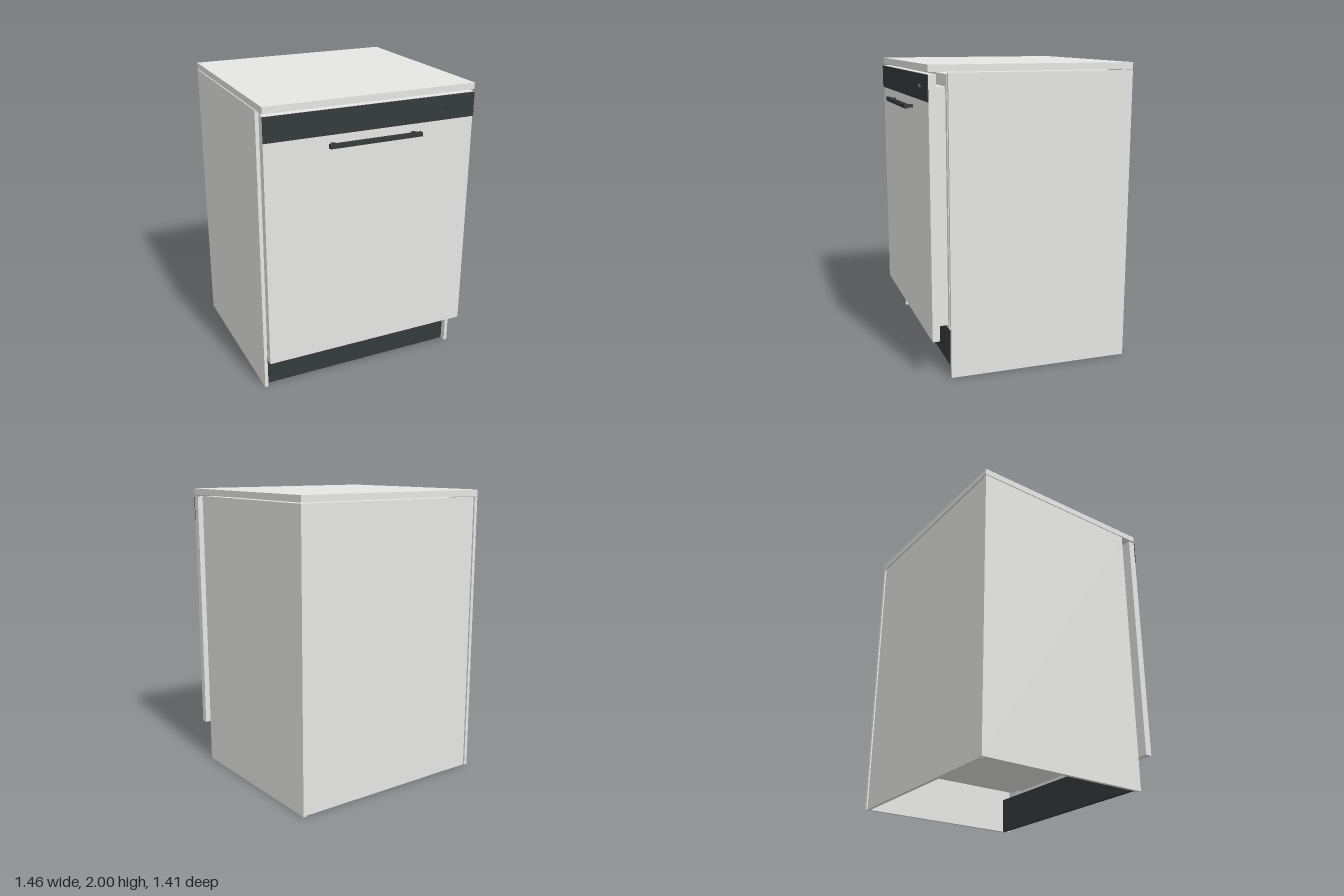
import * as THREE from 'three';

export function createModel() {
  const model = new THREE.Group();
  model.name = 'dishwasher';

  const grey = new THREE.MeshStandardMaterial({ color: 0xe6e6e4 });
  grey.name = 'light grey';
  const dark = new THREE.MeshStandardMaterial({ color: 0x343a3a });
  dark.name = 'charcoal';

  // Box given by its minimum and maximum on each axis
  function box(name, material, [x0, x1], [y0, y1], [z0, z1], parent = model) {
    const mesh = new THREE.Mesh(new THREE.BoxGeometry(x1 - x0, y1 - y0, z1 - z0), material);
    mesh.position.set((x0 + x1) / 2, (y0 + y1) / 2, (z0 + z1) / 2);
    mesh.name = name;
    parent.add(mesh);
  }

  // Cabinet: worktop, two sides, slightly recessed back panel
  box('worktop', grey, [-0.73, 0.73], [1.957, 2], [-0.705, 0.645]);
  box('rightSide', grey, [-0.73, -0.706], [0, 1.951], [-0.705, 0.522]);
  box('leftSide', grey, [0.706, 0.73], [0, 1.951], [-0.705, 0.522]);
  box('backPanel', grey, [-0.702, 0.702], [0, 1.951], [-0.697, -0.673]);

  // Machine body, standing clear of the sides
  box('body', grey, [-0.684, 0.684], [0.312, 1.94], [-0.673, 0.52]);

  // Recessed plinth
  box('plinth', dark, [-0.705, 0.705], [0, 0.248], [0.457, 0.482]);

  // Door with a narrower inner liner and a control strip
  box('doorLiner', grey, [-0.65, 0.65], [0.333, 1.865], [0.52, 0.594]);
  box('door', grey, [-0.73, 0.73], [0.262, 1.943], [0.596, 0.644]);
  box('controlStrip', dark, [-0.73, 0.73], [1.78, 1.94], [0.644, 0.651]);

  // Round control button
  const knob = new THREE.Mesh(new THREE.CylinderGeometry(0.022, 0.022, 0.015, 32), dark);
  knob.name = 'controlButton';
  knob.rotation.x = Math.PI / 2;
  knob.position.set(0.535, 1.858, 0.6575);
  model.add(knob);

  // Bar handle on two posts
  const handle = new THREE.Group();
  handle.name = 'handle';
  model.add(handle);
  box('handleBar', dark, [-0.32, 0.32], [1.708, 1.735], [0.678, 0.705], handle);
  for (const x of [-0.282, 0.282]) {
    box('handlePost', dark, [x - 0.014, x + 0.014], [1.711, 1.73], [0.644, 0.678], handle);
  }

  return model;
}
